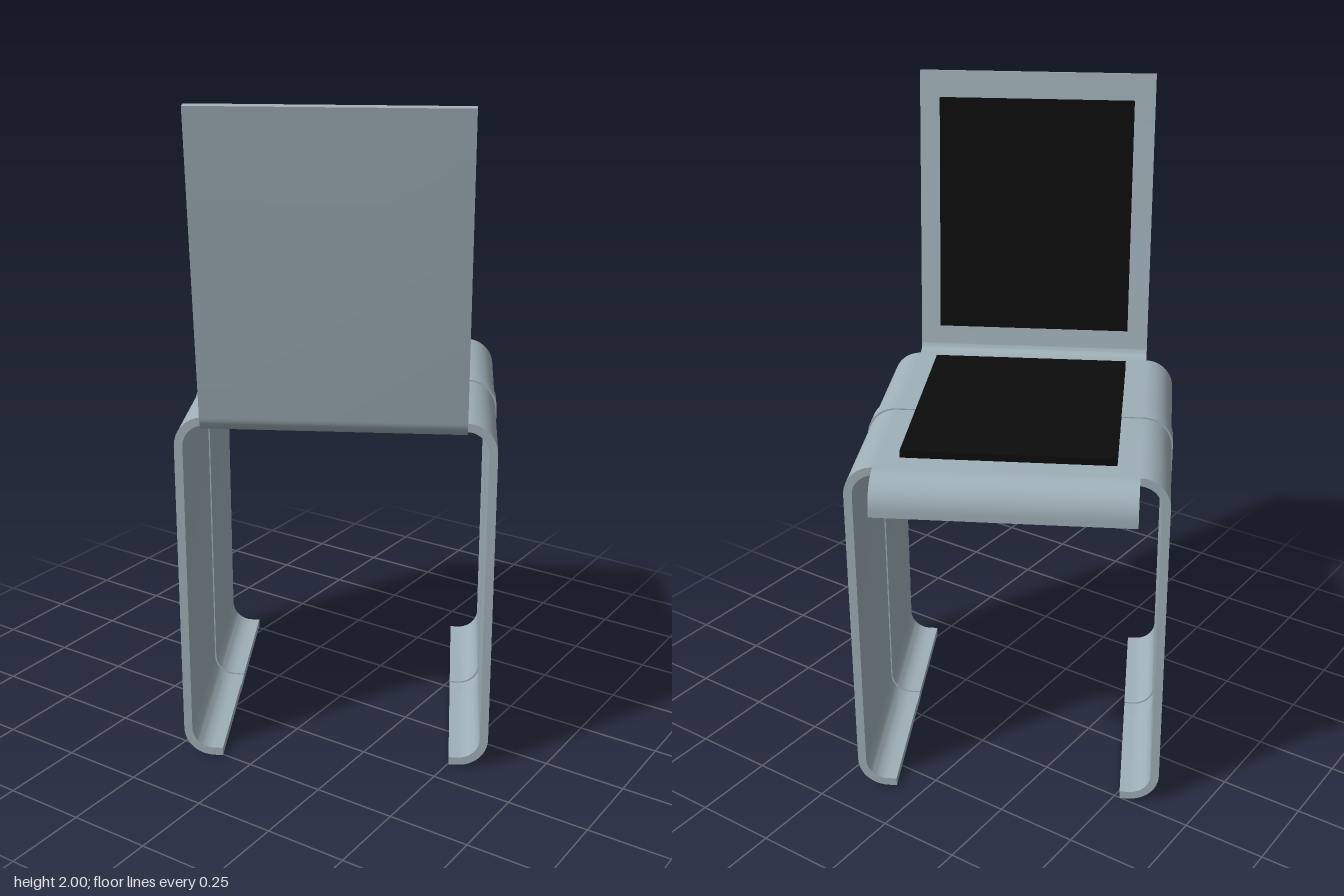
import * as THREE from 'three';
import { toCreasedNormals } from 'three/addons/utils/BufferGeometryUtils.js';

const T = 0.025; // sheet thickness

// Outline of a bent sheet: a centreline with rounded corners, thickened to both sides
function sheetShape(path, radius) {
  const pts = path.map(([x, y]) => new THREE.Vector2(x, y));
  const left = [], right = [];
  const add = (p, angle) => {
    const n = new THREE.Vector2(-Math.sin(angle), Math.cos(angle)).multiplyScalar(T / 2);
    left.push(p.clone().add(n));
    right.push(p.clone().sub(n));
  };
  const heading = (i) => Math.atan2(pts[i + 1].y - pts[i].y, pts[i + 1].x - pts[i].x);
  const last = pts.length - 1;
  add(pts[0], heading(0));
  for (let i = 1; i < last; i++) {
    const a0 = heading(i - 1);
    let turn = heading(i) - a0;
    turn = Math.atan2(Math.sin(turn), Math.cos(turn));
    const s = Math.sign(turn) * radius;
    const cut = radius * Math.tan(Math.abs(turn) / 2);
    const cx = pts[i].x - Math.cos(a0) * cut - Math.sin(a0) * s;
    const cy = pts[i].y - Math.sin(a0) * cut + Math.cos(a0) * s;
    for (let k = 0; k <= 12; k++) {
      const a = a0 + turn * k / 12;
      add(new THREE.Vector2(cx + Math.sin(a) * s, cy - Math.cos(a) * s), a);
    }
  }
  add(pts[last], heading(last - 1));
  return new THREE.Shape([...left, ...right.reverse()]);
}

function bentSheet(path, radius, depth) {
  const g = new THREE.ExtrudeGeometry(sheetShape(path, radius), { depth, bevelEnabled: false });
  return toCreasedNormals(g, 0.5);
}

export function createModel() {
  const shell = new THREE.MeshStandardMaterial({ color: 0x9fb0b8 });
  shell.name = 'greyShell';
  const black = new THREE.MeshStandardMaterial({ color: 0x0c0c0c });
  black.name = 'blackPad';

  const chair = new THREE.Group();
  chair.name = 'chair';
  const add = (name, geometry, material) => {
    const mesh = new THREE.Mesh(geometry, material);
    mesh.name = name;
    chair.add(mesh);
    return mesh;
  };

  // Seat, side legs and inturned feet as one folded loop; the middle band sits slightly proud
  const loop = (name, z0, z1, e) => {
    const x = 0.45 + e, bottom = 0.0165 - e, top = 1.0875 + e;
    const path = [[-0.345, bottom], [-x, bottom], [-x, top], [x, top], [x, bottom], [0.345, bottom]];
    add(name, bentSheet(path, 0.0775, z1 - z0), shell).position.z = z0;
  };
  loop('seatAndLegsFrontHalf', -0.478, -0.075, 0);
  loop('middleBand', -0.075, -0.005, 0.004);
  loop('seatAndLegsRearHalf', -0.005, 0.397, 0);

  // Panels bent from the seat edges, drawn in side profile as [z, y]
  const panel = (name, path, radius) => {
    const g = bentSheet(path, radius, 0.75);
    g.translate(0, 0, -0.375);
    g.rotateY(-Math.PI / 2);
    add(name, g, shell);
  };
  panel('frontLip', [[-0.478, 1.0875], [-0.5575, 1.0875], [-0.5575, 0.99]], 0.0775);
  panel('backrest', [[0.397, 1.0875], [0.448, 1.0875], [0.571, 1.9985]], 0.04);

  // Pads on the seat and the backrest
  add('seatPad', new THREE.BoxGeometry(0.618, 0.022, 0.735), black).position.set(0, 1.111, -0.04);
  const backPad = add('backPad', new THREE.BoxGeometry(0.618, 0.74, 0.022), black);
  backPad.position.set(0, 1.553, 0.487);
  backPad.rotation.x = Math.atan2(0.123, 0.911);

  // The chair stands turned on the spot
  chair.rotation.y = THREE.MathUtils.degToRad(29);
  chair.position.set(0.012, 0, -0.006);

  const model = new THREE.Group();
  model.name = 'model';
  model.add(chair);
  return model;
}
